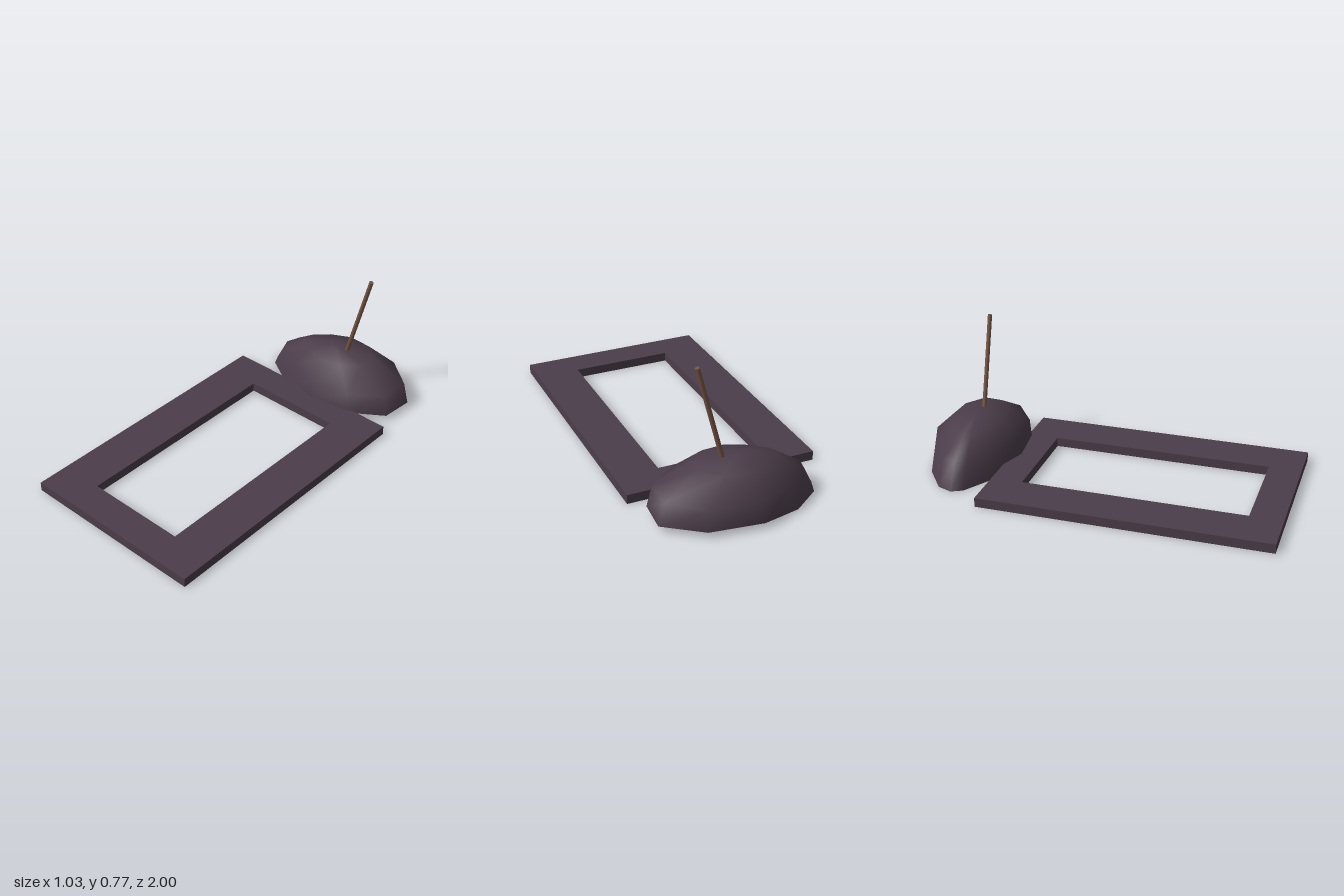
import * as THREE from 'three';

export function createModel() {
  const group = new THREE.Group();
  const earth = new THREE.MeshStandardMaterial({ color: 0x4b3d4a, side: THREE.DoubleSide });
  earth.name = 'dark earth';
  const wood = new THREE.MeshStandardMaterial({ color: 0x755443 });
  wood.name = 'brown wood';

  const add = (name, geometry, material) => {
    const mesh = new THREE.Mesh(geometry, material);
    mesh.name = name;
    group.add(mesh);
    return mesh;
  };

  // Border bars: boxes left open underneath
  const bar = (name, x0, x1, z0, z1) => {
    const h = 0.05;
    const g = new THREE.BoxGeometry(x1 - x0, h, z1 - z0);
    const index = Array.from(g.index.array);
    index.splice(18, 6); // remove the bottom face
    g.setIndex(index);
    g.clearGroups();
    add(name, g, earth).position.set((x0 + x1) / 2, h / 2, (z0 + z1) / 2);
  };
  bar('frontBorder', -0.513, 0.513, 0.825, 1);
  bar('backBorder', -0.513, 0.513, -0.545, -0.375);
  bar('leftBorder', 0.278, 0.513, -0.375, 0.825);
  bar('rightBorder', -0.513, -0.278, -0.375, 0.825);

  // Earth mound: open dome from an uneven rim, shrinking rings and an apex
  const cz = -0.735;
  const rim = [
    [-0.4, -0.73], [-0.37, -0.67], [-0.2, -0.565], [0.03, -0.495], [0.27, -0.525], [0.455, -0.65],
    [0.47, -0.83], [0.28, -0.97], [0, -1], [-0.22, -0.92], [-0.37, -0.81],
  ];
  const rings = [
    { sx: 1, dx: 0, sz: 1, y: (x) => THREE.MathUtils.clamp(0.03 + x * 0.15, 0, 0.035) },
    { sx: 0.885, dx: 0.024, sz: 0.96, y: (x) => 0.145 + x * 0.013 },
    { sx: 0.506, dx: 0.012, sz: 0.575, y: (x) => 0.243 + x * 0.03 },
  ];
  const n = rim.length;
  const positions = [];
  const faces = [];
  for (const r of rings) {
    for (const [x, z] of rim) positions.push(x * r.sx + r.dx, r.y(x), cz + (z - cz) * r.sz);
  }
  positions.push(0, 0.283, cz);
  for (let k = 0; k < rings.length; k++) {
    for (let i = 0; i < n; i++) {
      const j = (i + 1) % n;
      const a = k * n + i, b = k * n + j;
      if (k === rings.length - 1) faces.push(a, b, rings.length * n);
      else faces.push(a, b, b + n, a, b + n, a + n);
    }
  }
  const mound = new THREE.BufferGeometry();
  mound.setAttribute('position', new THREE.Float32BufferAttribute(positions, 3));
  mound.setIndex(faces);
  mound.computeVertexNormals();
  add('earthMound', mound, earth);

  // Leaning wooden stick, pushed through the top of the mound
  const from = new THREE.Vector3(0.092, 0.235, cz);
  const to = new THREE.Vector3(0.234, 0.763, cz);
  const dir = to.clone().sub(from);
  const stick = add('stick', new THREE.CylinderGeometry(0.0125, 0.0125, dir.length(), 8), wood);
  stick.position.copy(from).add(to).multiplyScalar(0.5);
  stick.quaternion.setFromUnitVectors(new THREE.Vector3(0, 1, 0), dir.normalize());

  return group;
}
